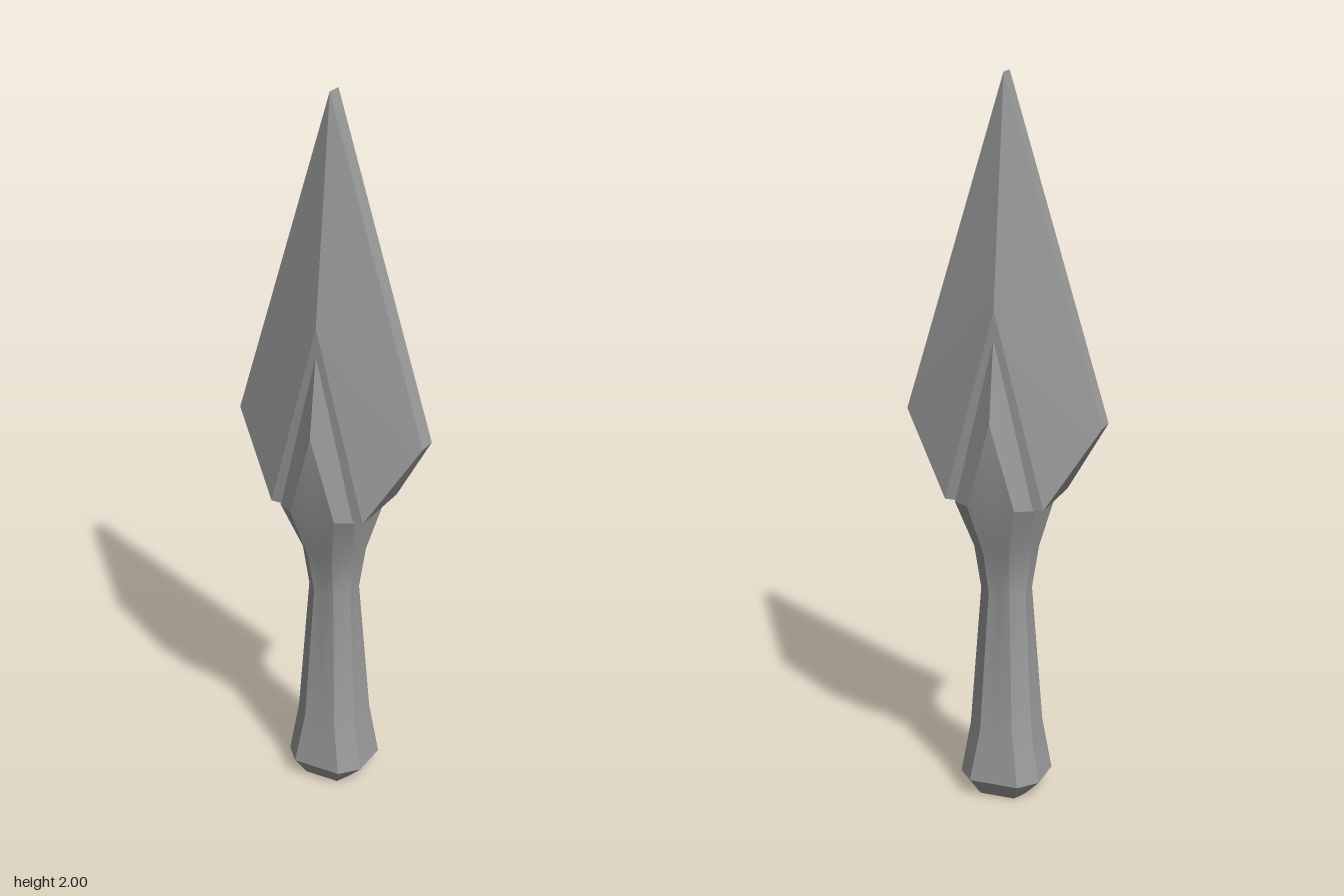
import * as THREE from 'three';
import { toCreasedNormals } from 'three/addons/utils/BufferGeometryUtils.js';

const steel = new THREE.MeshStandardMaterial({ color: 0x9b9b9b });

// Builds a mesh from polygons of the +x +z quarter, mirrored across both planes.
// Edges sharper than the crease angle (degrees) stay hard.
function mirroredMesh(name, polygons, crease) {
  const positions = [];
  for (const sx of [1, -1]) {
    for (const sz of [1, -1]) {
      for (const poly of polygons) {
        const pts = poly.map(([x, y, z]) => [x * sx, y, z * sz]);
        for (let i = 1; i < pts.length - 1; i++) {
          const [b, c] = sx * sz > 0 ? [pts[i], pts[i + 1]] : [pts[i + 1], pts[i]];
          positions.push(...pts[0], ...b, ...c);
        }
      }
    }
  }
  const geometry = new THREE.BufferGeometry();
  geometry.setAttribute('position', new THREE.Float32BufferAttribute(positions, 3));
  const mesh = new THREE.Mesh(toCreasedNormals(geometry, THREE.MathUtils.degToRad(crease)), steel);
  mesh.name = name;
  return mesh;
}

// Flared eight-sided handle, ending in a pointed socket that clasps the blade
function createHandle() {
  // y, half width of front face, front z, half width of side, half depth of side face
  const rings = [
    [0, 0.05, 0.075, 0.068, 0.035],
    [0.05, 0.07, 0.105, 0.115, 0.055],
    [0.2, 0.047, 0.085, 0.09, 0.045],
    [0.6, 0.03, 0.06, 0.065, 0.025],
    [0.72, 0.037, 0.08, 0.083, 0.03],
    [0.865, 0.067, 0.122, 0.112, 0.096],
  ].map(([y, a, front, b, side]) => [[0, y, front], [a, y, front], [b, y, side], [b, y, 0]]);

  const polygons = [[[0, 0, 0], ...[...rings[0]].reverse()]];
  for (let r = 0; r < rings.length - 1; r++) {
    const low = rings[r], high = rings[r + 1];
    for (let i = 0; i < 3; i++) polygons.push([low[i], low[i + 1], high[i + 1], high[i]]);
  }

  // pointed tongue lying on the blade's face
  const [front, corner, side, mid] = rings[rings.length - 1];
  const ridge = [0, 1.1, 0.131], tip = [0, 1.32, 0.0985];
  polygons.push([front, corner, ridge], [corner, side, tip, ridge], [side, mid, [0, 1.32, 0], tip]);
  return mirroredMesh('handle', polygons, 25);
}

// Leaf-shaped blade with a narrow flat rim and a flat triangle at its base
function createBlade() {
  const tip = [0, 2, 0.022], wing = [0.277, 1.09, 0.026];
  const heel = [0.14, 0.87, 0.097], peak = [0, 1.4, 0.097], base = [0, 0.87, 0.097];
  const flat = ([x, y]) => [x, y, 0];
  return mirroredMesh('blade', [
    [base, heel, peak],
    [peak, heel, wing, tip],
    [wing, flat(wing), flat(tip), tip],
    [heel, flat(heel), flat(wing), wing],
    [heel, base, flat(base), flat(heel)],
  ], 10);
}

export function createModel() {
  const group = new THREE.Group();
  group.name = 'spearhead';
  group.add(createHandle(), createBlade());
  return group;
}
